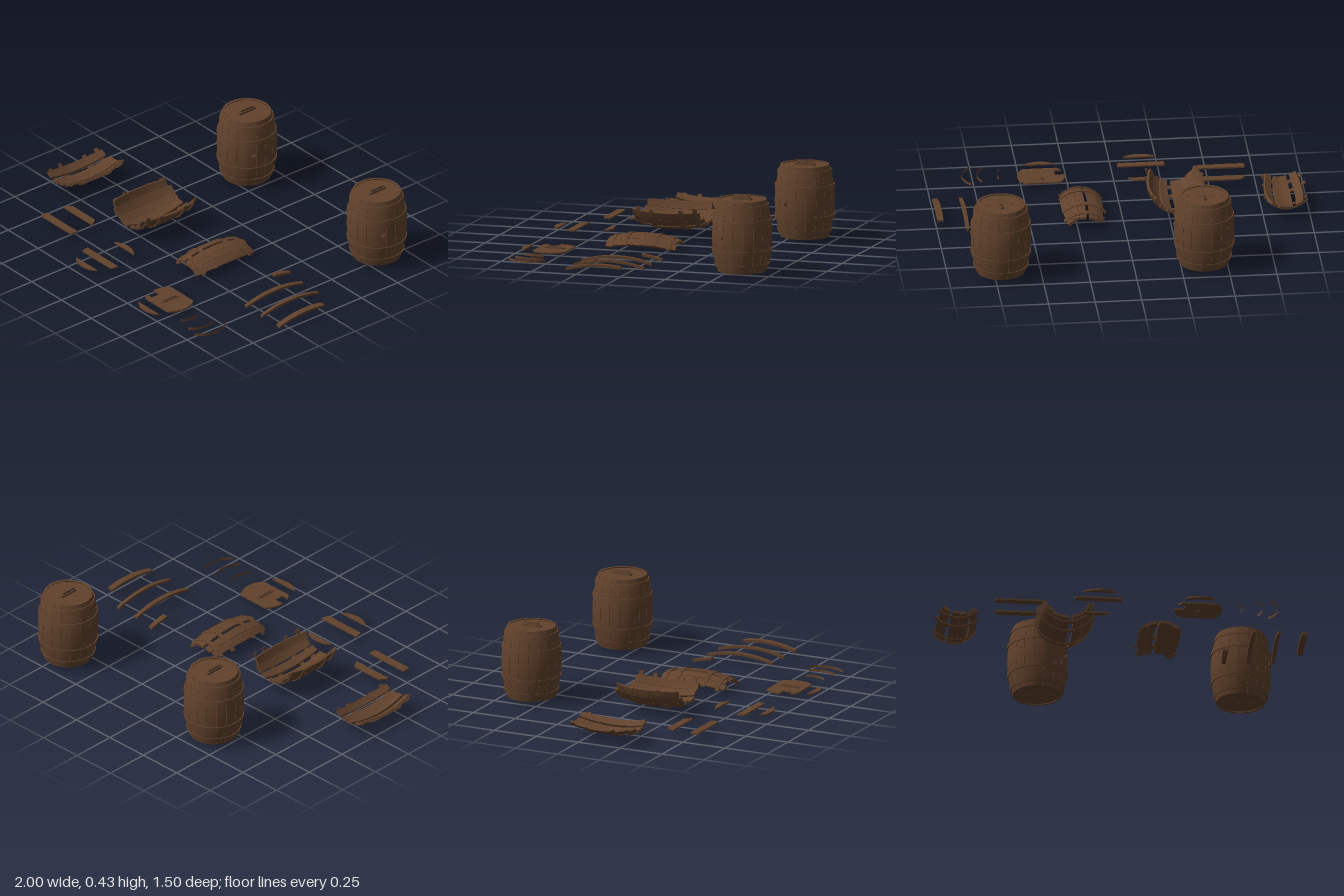
import * as THREE from 'three';
import { toCreasedNormals } from 'three/addons/utils/BufferGeometryUtils.js';

const wood = new THREE.MeshStandardMaterial({ color: 0x61422c });
wood.name = 'brown wood';
const HALF = 0.195; // half the barrel's height
const radius = (t) => 0.131 + 0.03 * (1 - t * t); // t runs -1..1 along the barrel
const rad = THREE.MathUtils.degToRad;

function add(parent, name, geometry, x = 0, y = 0, z = 0) {
  const mesh = new THREE.Mesh(geometry, wood);
  mesh.name = name;
  mesh.position.set(x, y, z);
  parent.add(mesh);
  return mesh;
}

function group(parent, name, x, y, z, rx = 0) {
  const g = new THREE.Group();
  g.name = name;
  g.position.set(x, y, z);
  g.rotation.x = rx;
  parent.add(g);
  return g;
}

// Curved slab that follows the barrel bulge: angles in degrees, t range, radial offsets
function shell(a0, a1, t0, t1, inner, outer, rows = 8) {
  const n = Math.max(2, Math.ceil((a1 - a0) / 10));
  const m = 2 * n + 2, pos = [], idx = [];
  for (let i = 0; i <= rows; i++) {
    const t = t0 + ((t1 - t0) * i) / rows;
    for (let j = 0; j < m; j++) {
      const out = j <= n, k = out ? j : m - 1 - j;
      const a = rad(a0 + ((a1 - a0) * k) / n);
      const r = radius(t) + (out ? outer : inner);
      pos.push(r * Math.sin(a), t * HALF, r * Math.cos(a));
    }
  }
  const quad = (a, b, c, d) => idx.push(a, b, c, a, c, d);
  for (let i = 0; i < rows; i++) {
    for (let j = 0; j < m; j++) {
      const k = (j + 1) % m, p = i * m, q = p + m;
      quad(p + j, p + k, q + k, q + j);
    }
  }
  const top = rows * m;
  for (let k = 0; k < n; k++) {
    quad(top + k, top + k + 1, top + m - 2 - k, top + m - 1 - k);
    quad(k, m - 1 - k, m - 2 - k, k + 1);
  }
  const g = new THREE.BufferGeometry();
  g.setAttribute('position', new THREE.Float32BufferAttribute(pos, 3));
  g.setIndex(idx);
  return toCreasedNormals(g, 0.6);
}

const stave = (a0, a1, t0 = -1, t1 = 1) => shell(a0, a1, t0, t1, -0.014, 0);
const hoop = (a0, a1, t) => shell(a0, a1, t - 0.055, t + 0.055, -0.002, 0.005, 2);

// Board cut from a round lid between two z lines
function board(R, z0, z1, xMin = -R, depth = 0.008) {
  const right = [], left = [];
  for (let i = 0; i <= 10; i++) {
    const z = z0 + ((z1 - z0) * i) / 10;
    const w = Math.sqrt(Math.max(R * R - z * z, 1e-6));
    right.push(new THREE.Vector2(w, -z));
    left.unshift(new THREE.Vector2(Math.max(-w, xMin), -z));
  }
  const g = new THREE.ExtrudeGeometry(new THREE.Shape([...right, ...left]), { depth, bevelEnabled: false });
  return g.rotateX(-Math.PI / 2);
}

// Rounded base plate with a narrower grip
function handle(parent, y, height) {
  const s = new THREE.Shape();
  s.absarc(0, 0.047, 0.012, 0, Math.PI);
  s.absarc(0, -0.047, 0.012, Math.PI, 2 * Math.PI);
  const plate = new THREE.ExtrudeGeometry(s, { depth: height * 0.5, bevelEnabled: false, curveSegments: 6 });
  add(parent, 'handlePlate', plate.rotateX(-Math.PI / 2), 0, y, 0);
  add(parent, 'handleGrip', new THREE.BoxGeometry(0.012, height * 0.6, 0.085), 0, y + height * 0.7, 0);
}

const nailShape = new THREE.CylinderGeometry(0.003, 0.003, 0.005, 6).rotateX(Math.PI / 2);
function nail(parent, a, t, out) {
  const r = radius(t) + out;
  const n = add(parent, 'nail', nailShape, r * Math.sin(rad(a)), t * HALF, r * Math.cos(rad(a)));
  n.rotation.y = rad(a);
}

const HOOPS = [-0.82, -0.42, 0.42, 0.82];

function barrel(parent, x, z) {
  const b = group(parent, 'barrel', x, 0.215, z);
  for (let i = 0; i < 18; i++) {
    add(b, 'stave', stave(i * 20 - 9.7, i * 20 + 9.7));
    nail(b, i * 20 + 5, i % 2 ? 0.6 : -0.6, 0);
  }
  for (const t of HOOPS) {
    add(b, 'hoop', hoop(0, 360, t));
    for (let i = 0; i < 9; i++) nail(b, i * 40 + 10, t, 0.005);
  }
  // Split lid, bottom and handle
  for (const y of [0.181, -0.19]) {
    add(b, 'endBoard', board(0.122, -0.122, -0.001), 0, y, 0);
    add(b, 'endBoard', board(0.122, 0.001, 0.122), 0, y, 0);
  }
  handle(b, 0.189, 0.024);
  // Bung on the side
  const a = rad(65);
  const bung = add(b, 'bung', new THREE.CylinderGeometry(0.011, 0.014, 0.014, 12).rotateX(Math.PI / 2),
    0.164 * Math.sin(a), 0, 0.164 * Math.cos(a));
  bung.rotation.y = a;
}

// Broken side of a barrel lying down: staves as [a0, a1, t0, t1], hoops reaching past them
function wreck(parent, name, x, y, up, staves, h0, h1) {
  const g = group(parent, name, x, y, 0.115, up ? -Math.PI / 2 : Math.PI / 2);
  for (const s of staves) add(g, 'brokenStave', stave(...s));
  HOOPS.forEach((t, i) => {
    add(g, 'brokenHoop', hoop(h0 + (i % 2) * 3, h1 - (i % 3) * 2, t));
    for (const s of staves) nail(g, (s[0] + s[1]) / 2, t, 0.005);
  });
}

export function createModel() {
  const model = new THREE.Group();
  model.name = 'barrels and wreckage';

  barrel(model, -0.375, -0.59);
  barrel(model, 0.715, -0.59);

  // Broken barrel sides
  wreck(model, 'leftWreck', -0.875, 0.195, false, [
    [-41, -22, -0.93, 1], [-14, 3, -1, 1], [3.4, 20, -1, 0.97], [26, 42, -1, 0.94],
  ], -50, 48);
  wreck(model, 'middleWreck', -0.29, 0.195, false, [
    [-77, -59, -0.9, 0.95], [-58.6, -40, -1, 1], [-39.6, -20, -1, 0.97], [-19.6, 3, -0.98, 1],
    [12, 30, -1, 1], [34, 51, -1, 0.96], [51.4, 70, -0.92, 1],
  ], -80, 80);
  wreck(model, 'rightWreck', 0.21, -0.063, true, [
    [-43, -27, -1, 0.95], [-26, -10, -0.95, 1], [-3, 13, -1, 1], [13.4, 29, -1, 0.97], [29.4, 45, -1, 1],
  ], -50, 49);

  // Loose staves, arched upward
  for (const [x, half, t0, t1, z] of [
    [0.58, 5.5, 0.42, 1, 0.095], [0.71, 4.8, -1, 1, 0.115],
    [0.842, 4, -1, 1, 0.115], [0.98, 6.5, -1, 0.58, 0.115],
  ]) {
    const g = group(model, 'looseStave', x, -0.1, z, -Math.PI / 2);
    add(g, 'staveBoard', stave(-half, half, t0, t1));
  }

  // Loose lid boards: x, y, lid centre z, then the cut lines
  for (const [x, y, z, z0, z1] of [
    [-0.576, 0.036, 0.46, -0.09, -0.045], [-0.576, 0.036, 0.542, -0.022, 0.022],
    [-0.154, 0.036, 0.538, -0.128, -0.096], [-0.154, 0.036, 0.588, 0, 0.042],
    [-0.154, 0.036, 0.607, 0.093, 0.128], [0.383, 0.01, 0.617, 0.096, 0.128],
  ]) add(model, 'lidBoard', board(0.128, z0, z1), x, y, z);

  // Broken lid with a notch in one side
  const lid = group(model, 'brokenLid', 0.383, 0.01, 0.57);
  add(lid, 'lidHalf', board(0.128, -0.09, 0.005));
  add(lid, 'lidNotch', board(0.128, 0.005, 0.06, -0.075));
  add(lid, 'lidEdge', board(0.128, 0.06, 0.09));
  handle(lid, 0.008, 0.012);
  add(lid, 'lowerGrip', new THREE.BoxGeometry(0.018, 0.01, 0.07), 0, -0.005, -0.02);

  // Loose hoop pieces: x of the crown, z, half angle, turn
  for (const [x, z, half, turn] of [
    [0.617, 0.595, 25, 8], [0.725, 0.598, 38, 6], [0.808, 0.597, 50, 2],
  ]) {
    const g = group(model, 'loosePiece', x - 0.136, 0.018, z);
    g.rotation.y = rad(-turn);
    const band = new THREE.CylinderGeometry(0.136, 0.136, 0.014, 16, 1, true, rad(90 - half), rad(2 * half));
    const strip = add(g, 'looseHoop', band);
    strip.material = hoopWood;
  }
  return model;
}

// Open bands need both faces
const hoopWood = new THREE.MeshStandardMaterial({ color: 0x61422c, side: THREE.DoubleSide });
hoopWood.name = 'brown hoop';
